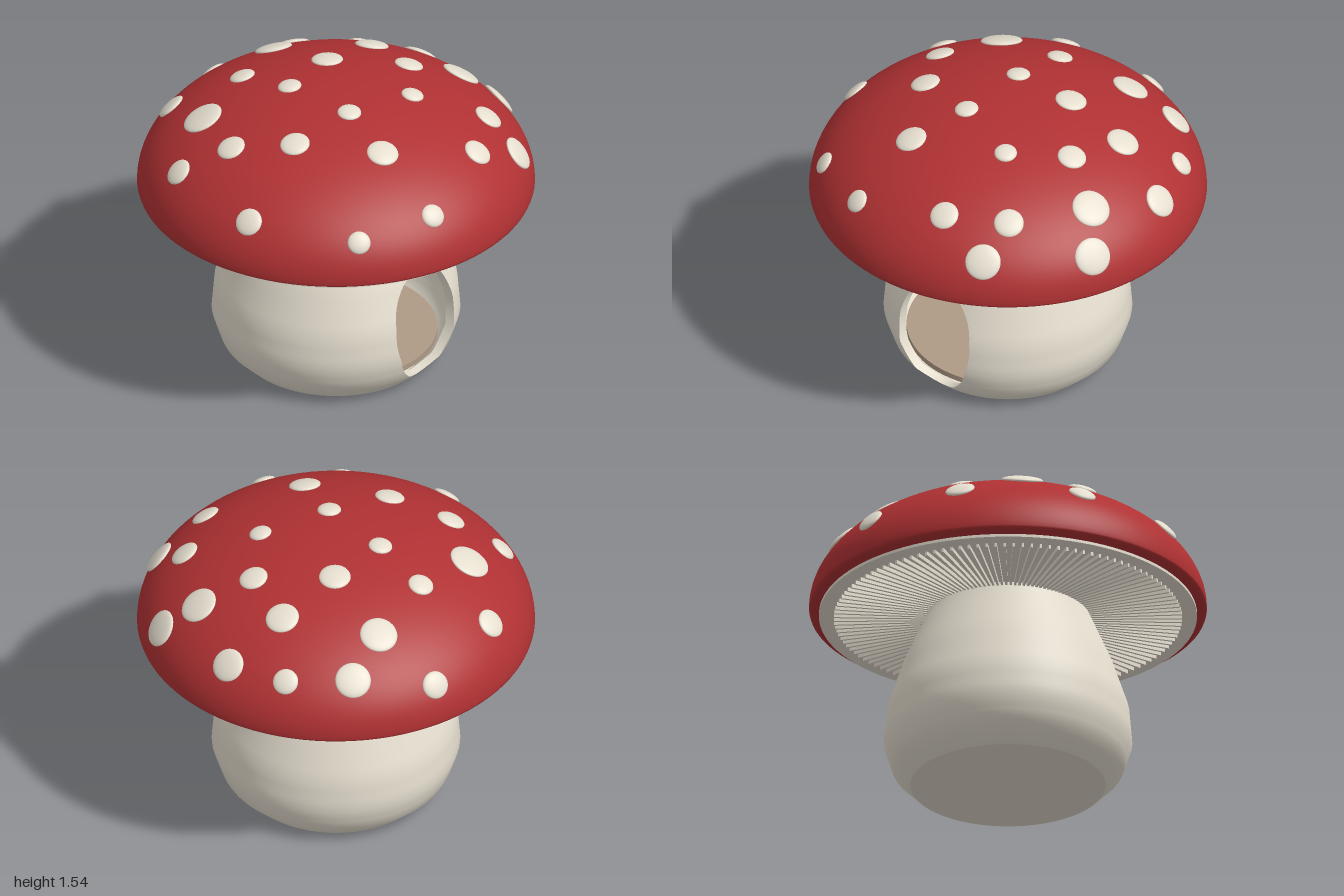
import * as THREE from 'three';

const cream = new THREE.MeshStandardMaterial({ color: 0xe6dfd0, side: THREE.DoubleSide });
cream.name = 'cream';
const red = new THREE.MeshStandardMaterial({ color: 0xb03133 });
red.name = 'red';
const brown = new THREE.MeshStandardMaterial({ color: 0xae9a85 });
brown.name = 'brown';

// Stem outline as [radius, height]
const STEM = [[0.49, 0.01], [0.58, 0.1], [0.625, 0.24], [0.61, 0.42], [0.53, 0.66], [0.41, 0.94], [0.4, 0.975]];
const DOOR = { y: 0.36, rx: 0.23, ry: 0.31 };
const WALL = 0.05;
const CAP = { y: 0.99, h: 0.54 };

function stemRadius(y) {
  for (let i = 1; i < STEM.length; i++) {
    const [r0, y0] = STEM[i - 1], [r1, y1] = STEM[i];
    if (y <= y1) return r0 + (r1 - r0) * Math.max(0, (y - y0) / (y1 - y0));
  }
  return STEM[STEM.length - 1][0];
}

function stemSlope(y) {
  const a = Math.max(0.01, y - 0.06), b = Math.min(0.975, y + 0.06);
  return (stemRadius(b) - stemRadius(a)) / (b - a);
}

function buildGeometry(positions, index, normals) {
  const g = new THREE.BufferGeometry();
  g.setAttribute('position', new THREE.Float32BufferAttribute(positions, 3));
  g.setIndex(index);
  if (normals) g.setAttribute('normal', new THREE.Float32BufferAttribute(normals, 3));
  else g.computeVertexNormals();
  return g;
}

// Index for a grid of quads
function gridIndex(rows, cols, flip) {
  const index = [];
  for (let i = 0; i < rows - 1; i++) {
    for (let j = 0; j < cols - 1; j++) {
      const a = i * cols + j, b = a + 1, d = a + cols, c = d + 1;
      if (flip) index.push(a, c, b, a, d, c);
      else index.push(a, b, c, a, c, d);
    }
  }
  return index;
}

// Stem wall: each row runs round from one door edge to the other
function stemShell(inset, flip) {
  const rows = [0.01, 0.03];
  for (let i = 0; i <= 40; i++) rows.push(DOOR.y - DOOR.ry * Math.cos(Math.PI * i / 40));
  for (let i = 1; i <= 12; i++) rows.push(0.67 + 0.305 * i / 12);
  const cols = 81, pos = [], nor = [], sign = flip ? -1 : 1;
  for (const y of rows) {
    const r = stemRadius(y) - inset;
    const k = (y - DOOR.y) / DOOR.ry;
    const start = Math.asin(DOOR.rx * Math.sqrt(Math.max(0, 1 - k * k)) / r);
    const n = new THREE.Vector3();
    for (let j = 0; j < cols; j++) {
      const t = start + (2 * Math.PI - 2 * start) * j / (cols - 1);
      pos.push(r * Math.sin(t), y, r * Math.cos(t));
      n.set(Math.sin(t), -stemSlope(y), Math.cos(t)).normalize().multiplyScalar(sign);
      nor.push(n.x, n.y, n.z);
    }
  }
  return buildGeometry(pos, gridIndex(rows.length, cols, flip), nor);
}

// Thickness of the wall around the door opening
function doorReveal() {
  const pos = [], n = 80;
  for (let i = 0; i <= n; i++) {
    const t = 2 * Math.PI * i / n;
    const x = DOOR.rx * Math.sin(t), y = DOOR.y - DOOR.ry * Math.cos(t);
    for (const inset of [0, WALL]) {
      const r = stemRadius(y) - inset;
      pos.push(x, y, Math.sqrt(r * r - x * x));
    }
  }
  return buildGeometry(pos, gridIndex(n + 1, 2, false));
}

export function createModel() {
  const model = new THREE.Group();
  model.name = 'mushroomHouse';
  const add = (name, geometry, material, parent = model) => {
    const mesh = new THREE.Mesh(geometry, material);
    mesh.name = name;
    parent.add(mesh);
    return mesh;
  };

  // Hollow stem with doorway
  const stem = new THREE.Group();
  stem.name = 'stem';
  model.add(stem);
  add('stemOuterWall', stemShell(0, false), cream, stem);
  add('stemInnerWall', stemShell(WALL, true), cream, stem);
  add('doorReveal', doorReveal(), cream, stem);
  const base = [[0, 0], [0.25, 0.001], [0.49, 0.01]].map(p => new THREE.Vector2(...p));
  add('stemBase', new THREE.LatheGeometry(base, 80), cream, stem);
  add('floor', new THREE.CylinderGeometry(0.51, 0.51, 0.03, 64), brown, stem).position.y = 0.105;

  // Domed cap with a small rounded lip
  const dome = [];
  for (let i = 0; i <= 36; i++) {
    const a = Math.PI / 2 * i / 36;
    dome.push(new THREE.Vector2(Math.cos(a), CAP.y + CAP.h * Math.sin(a)));
  }
  dome[36].x = 0;
  dome.unshift(new THREE.Vector2(0.985, 0.975), new THREE.Vector2(0.997, 0.981));
  add('cap', new THREE.LatheGeometry(dome, 96), red);
  const under = add('capUnderside', new THREE.CircleGeometry(0.985, 96), red);
  under.rotation.x = Math.PI / 2;
  under.position.y = 0.975;

  // Plate and radial gills below the cap
  add('gillPlate', new THREE.CylinderGeometry(0.95, 0.95, 0.015, 96), cream).position.y = 0.953;
  const gills = new THREE.Group();
  gills.name = 'gills';
  model.add(gills);
  const blade = new THREE.BoxGeometry(0.012, 0.025, 0.49);
  blade.translate(0, 0.9375, 0.63);
  for (let i = 0; i < 120; i++) add('gill', blade, cream, gills).rotation.y = i * Math.PI / 60;

  // Raised spots as [x, z, radius], laid flat on the dome
  const spots = [
    [0.17, -0.92, 0.07], [-0.31, -0.81, 0.075], [0.52, -0.69, 0.09], [0.28, -0.62, 0.095],
    [-0.46, -0.49, 0.105], [-0.1, -0.52, 0.065], [0.76, -0.45, 0.065], [-0.77, -0.4, 0.07],
    [-0.61, -0.19, 0.073], [-0.11, -0.21, 0.06], [0.22, -0.23, 0.08], [0.57, -0.22, 0.085],
    [0.875, -0.15, 0.085], [-0.885, 0.14, 0.07], [-0.46, 0.1, 0.075], [-0.12, 0.18, 0.06],
    [0.49, 0.08, 0.073], [0.735, 0.22, 0.098], [0.865, 0.36, 0.095], [0.24, 0.3, 0.057],
    [-0.23, 0.48, 0.08], [0.5, 0.58, 0.075], [0.495, 0.775, 0.09], [0.21, 0.74, 0.073],
    [-0.65, 0.66, 0.058], [-0.28, 0.84, 0.06],
  ];
  const spotGroup = new THREE.Group();
  spotGroup.name = 'spots';
  model.add(spotGroup);
  const ball = new THREE.SphereGeometry(1, 32, 16);
  const up = new THREE.Vector3(0, 1, 0);
  for (const [x, z, r] of spots) {
    const h = Math.sqrt(1 - x * x - z * z);
    const spot = add('spot', ball, cream, spotGroup);
    spot.position.set(x, CAP.y + CAP.h * h, z);
    spot.scale.set(r, 0.022, r);
    spot.quaternion.setFromUnitVectors(up, new THREE.Vector3(x, h / CAP.h, z).normalize());
  }
  return model;
}
